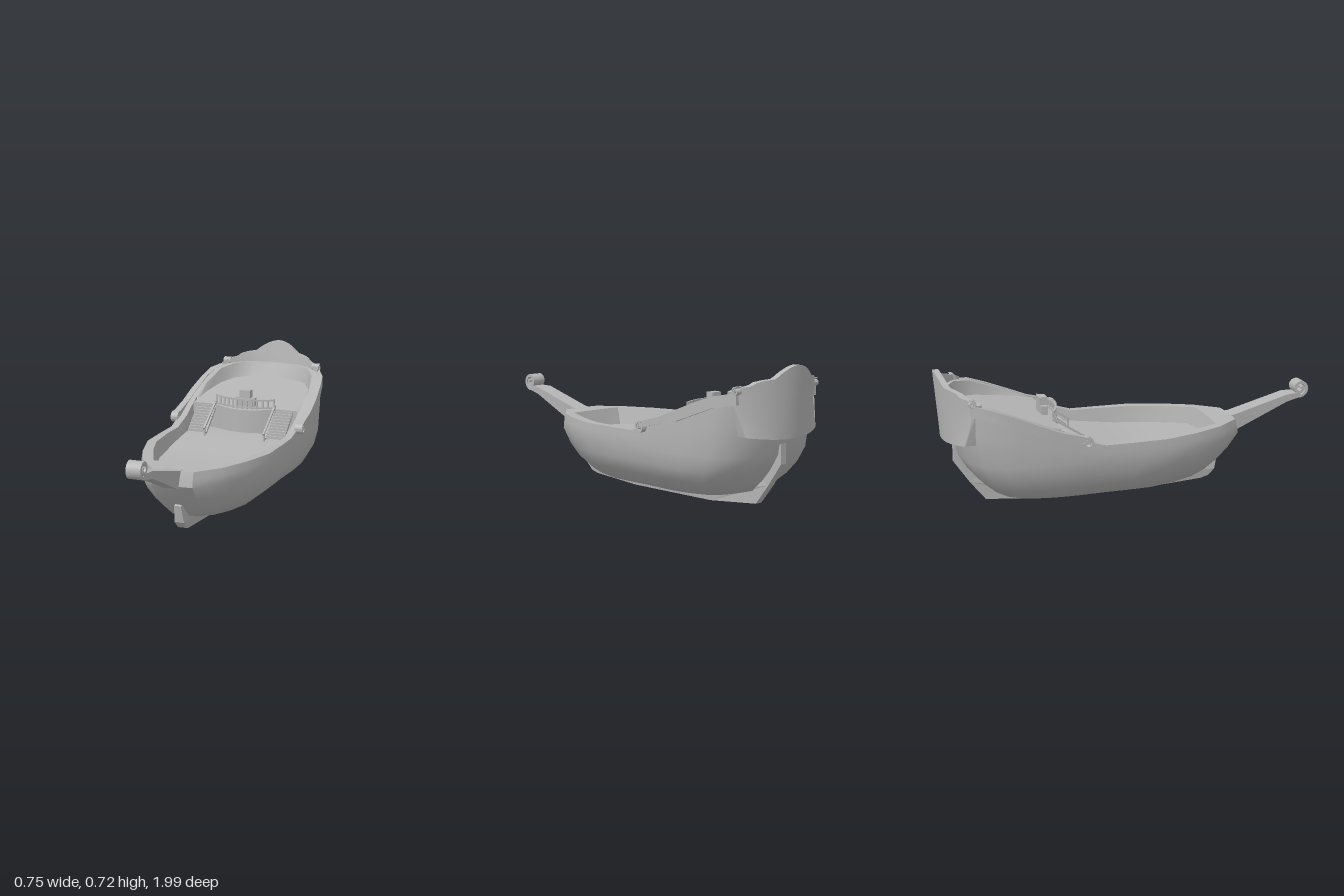
import * as THREE from 'three';
import { toCreasedNormals } from 'three/addons/utils/BufferGeometryUtils.js';

const grey = new THREE.MeshStandardMaterial({ color: 0xb4b4b4, side: THREE.DoubleSide });
grey.name = 'hull grey';

// Piecewise linear lookup in [[key, value], ...] with rising keys
function lerpTable(t, k) {
  if (k <= t[0][0]) return t[0][1];
  for (let i = 1; i < t.length; i++)
    if (k <= t[i][0]) return THREE.MathUtils.mapLinear(k, t[i - 1][0], t[i][0], t[i - 1][1], t[i][1]);
  return t[t.length - 1][1];
}

// Skin closed rings of [x, y, z] points, optionally capping both ends
function loft(rings, caps, crease = 0.6) {
  const n = rings[0].length, pos = rings.flat(), idx = [];
  for (let i = 0; i < rings.length - 1; i++)
    for (let j = 0; j < n; j++) {
      const a = i * n + j, b = i * n + (j + 1) % n;
      idx.push(a, b, b + n, a, b + n, a + n);
    }
  if (caps)
    for (let j = 1; j < n - 1; j++) {
      const e = (rings.length - 1) * n;
      idx.push(0, j + 1, j, e, e + j, e + j + 1);
    }
  const g = new THREE.BufferGeometry();
  g.setAttribute('position', new THREE.Float32BufferAttribute(pos.flat(), 3));
  g.setIndex(idx);
  return toCreasedNormals(g, crease);
}

// Side profile of [z, y] points extruded across x
function sideExtrude(pts, width) {
  const shape = new THREE.Shape(pts.map(p => new THREE.Vector2(p[0], p[1])));
  const g = new THREE.ExtrudeGeometry(shape, { depth: width, bevelEnabled: false });
  return g.translate(0, 0, -width / 2).rotateY(-Math.PI / 2);
}

// Curled ribbon, dir 1 winds from low and behind, -1 from above
function scroll(R, width, start, dir) {
  const outer = [], inner = [], turns = 1.45 * 2 * Math.PI;
  for (let i = 0; i <= 30; i++) {
    const a = i / 30 * turns, r = R * (1 - 0.6 * a / turns), s = start + dir * a;
    outer.push([r * Math.cos(s), r * Math.sin(s)]);
    inner.unshift([(r - R * 0.3) * Math.cos(s), (r - R * 0.3) * Math.sin(s)]);
  }
  return toCreasedNormals(sideExtrude([...outer, ...inner], width), 0.6);
}

// Half outline of the gunwale, bow to stern: outer x, outer z, inner x, inner z
const OUT = [
  [0, .56, 0, .43], [.11, .55, .08, .43], [.16, .49, .155, .425], [.21, .43, .18, .37],
  [.28, .28, .235, .25], [.335, .1, .285, .1], [.34, -.08, .3, -.08], [.34, -.22, .3, -.22],
  [.345, -.34, .302, -.34], [.35, -.41, .304, -.41], [.35, -.5, .305, -.5], [.345, -.62, .3, -.62],
  [.325, -.77, .27, -.77], [.27, -.86, .215, -.86], [.16, -.92, .13, -.905], [0, -.945, 0, -.915]
];
const RIM = [[-.93, .6], [-.85, .595], [-.74, .57], [-.6, .51], [-.475, .46], [-.34, .395], [-.22, .36]];
const rimY = z => lerpTable(RIM, z);
const mainY = z => .275 + .045 * THREE.MathUtils.smoothstep(-z, -.1, .4);
const upperY = z => .445 + (-z - .39) * .16;
const floorX = x => x * .95, floorZ = z => -.25 + (z + .25) * .96;
const FLOOR = OUT.map(p => [floorZ(p[3]), floorX(p[2])]).reverse();
const floorW = z => lerpTable(FLOOR, z) + .006;
const breakZ = x => -.435 + .05 * Math.max(0, 1 - (x / .17) ** 2);

function ringFrom(fn) {
  const half = OUT.map(fn);
  const other = half.slice(1, -1).reverse().map(p => [-p[0], p[1], p[2]]);
  return [...half, ...other];
}

function hullGeometry() {
  const level = (s, bow, stern, y) => ringFrom(([x, z]) => {
    const t = (z + .945) / 1.505;
    return [x * s, y(z, Math.abs(2 * t - 1)), stern + (bow - stern) * t];
  });
  return loft([
    level(.001, .3, -.6, () => .065),
    level(.58, .41, -.74, (z, e) => .065 + .025 * e ** 4),
    level(.87, .46, -.8, () => .145),
    level(.965, .52, -.855, () => .21),
    level(1, .575, -.9, () => .285),
    level(1.005, .57, -.925, z => (.285 + rimY(z)) / 2),
    level(1, .56, -.945, z => rimY(z)),
    ringFrom(p => [p[2], rimY(p[1]), p[3]]),
    ringFrom(p => [floorX(p[2]), p[3] > -.47 ? mainY(p[3]) - .01 : upperY(p[3]) - .01, floorZ(p[3])])
  ], false, .75);
}

// Grid surface: rule(u in -1..1, v in 0..1) gives a point
function sheet(nu, nv, rule) {
  const g = new THREE.PlaneGeometry(2, 1, nu, nv), p = g.attributes.position;
  for (let i = 0; i < p.count; i++) p.setXYZ(i, ...rule(p.getX(i), p.getY(i) + .5));
  g.computeVertexNormals();
  return g;
}

export function createModel() {
  const ship = new THREE.Group();
  ship.name = 'ship';
  const add = (name, geo, x = 0, y = 0, z = 0) => {
    const m = new THREE.Mesh(geo, grey);
    m.name = name;
    m.position.set(x, y, z);
    ship.add(m);
    return m;
  };
  const box = (name, w, h, d, x, y, z) => add(name, new THREE.BoxGeometry(w, h, d), x, y, z);
  // Square bar between two points
  const bar = (name, a, b, t) => {
    const A = new THREE.Vector3(...a), B = new THREE.Vector3(...b);
    const m = box(name, t, t, A.distanceTo(B), ...A.clone().add(B).multiplyScalar(.5).toArray());
    m.lookAt(B);
  };

  add('hull', hullGeometry());

  // Decks and the curved bulkhead between them
  add('mainDeck', sheet(8, 24, (u, v) => {
    const z = .415 - (1 - v) * .9;
    return [u * floorW(z), mainY(z), z];
  }).scale(1, 1, 1));
  add('upperDeck', sheet(24, 14, (u, v) => {
    const front = breakZ(u * .3), z = front + (-.893 - front) * v;
    return [u * floorW(z), upperY(z), z];
  }));
  add('bulkhead', sheet(24, 1, (u, v) => {
    const x = u * .3, z = breakZ(x);
    return [x, v ? upperY(z) : .3, z];
  }));

  // Keel, thinner towards its foot
  const keel = sideExtrude([[.49, .16], [.47, .07], [.44, .035], [.4, .022], [.1, 0], [-.45, 0], [-.76, .03],
    [-.84, .13], [-.915, .24], [-.915, .34], [-.87, .31], [-.79, .16], [-.7, .1], [.38, .1], [.46, .17]], 2);
  const kp = keel.attributes.position;
  for (let i = 0; i < kp.count; i++)
    kp.setX(i, kp.getX(i) * lerpTable([[0, .014], [.07, .026], [.16, .018]], kp.getY(i)));
  keel.computeVertexNormals();
  add('keel', keel);

  // Bowsprit with a curled tip
  const sprit = [[.5, .04, .25, .048, .357], [.57, .04, .272, .047, .364], [.87, .044, .408, .044, .447], [.95, .036, .424, .036, .45]];
  add('bowsprit', loft(sprit.map(([z, wb, b, wt, t]) => [[-wb, b, z], [wb, b, z], [wt, t, z], [-wt, t, z]]), true));
  add('bowScroll', scroll(.052, .074, -Math.PI / 2 - .5, 1), 0, .472, .948);

  // Rising side rails with scrolled ends: z, inner x, outer x, low y, high y
  const rail = [[-.31, .335, .372, .385, .415], [-.45, .335, .37, .418, .452], [-.56, .33, .365, .442, .497],
    [-.68, .32, .35, .488, .546], [-.77, .3, .333, .523, .578], [-.87, .24, .28, .54, .597]];
  for (const s of [1, -1]) {
    add('sideRail', loft(rail.map(([z, a, b, l, h]) => [[s * a, l, z], [s * b, l, z], [s * b, h, z], [s * a, h, z]]), true));
    add('railScroll', scroll(.034, .04, Math.PI / 2 + .4, -1), s * .355, .388, -.32);
    add('sternScroll', scroll(.024, .042, Math.PI / 2 + .4, -1), s * .264, .603, -.865);
  }

  // Curved stern board with a domed crest
  const crest = [[0, .717], [.03, .713], [.06, .702], [.09, .685], [.125, .657], [.17, .651], [.2, .643],
    [.22, .626], [.25, .622], [.285, .6]];
  const board = [];
  for (let i = -20; i <= 20; i++) {
    const x = i / 20 * .285, top = lerpTable(crest, Math.abs(x));
    const low = .37 + .25 * x * x, xl = x * .86;
    const zt = -1 + 1.85 * x * x, zl = -.972 + 1.2 * xl * xl;
    const mid = .53, xm = x * .97, zm = -.985 + 1.7 * xm * xm;
    board.push([[xl, low, zl], [xm, mid, zm], [x, top, zt], [x, top, zt + .03], [xm, mid, zm + .045], [xl, low, zl + .05]]);
  }
  add('sternBoard', loft(board, true, .7));

  // Balustrade along the deck break
  const railPts = [];
  for (let i = 0; i <= 12; i++) {
    const x = -.165 + i * .0275, z = breakZ(x) - .008, y = upperY(z);
    railPts.push([x, z]);
    box('baluster', .008, .05, .008, x, y + .028, z);
  }
  for (let i = 0; i < 12; i++)
    for (const y of [.458, .5])
      bar('balustradeRail', [railPts[i][0], y, railPts[i][1]], [railPts[i + 1][0], y, railPts[i + 1][1]], .009);

  // Stairs with a sloped handrail on each side
  for (const s of [1, -1]) {
    for (let i = 0; i < 10; i++)
      box('stairTread', .107, .014, .019, s * .222, .332 + i * .0117, -.303 - i * .0148);
    bar('stairStringer', [s * .17, .325, -.29], [s * .17, .443, -.44], .012);
    bar('stairHandrail', [s * .17, .352, -.265], [s * .17, .468, -.445], .01);
    box('stairPost', .01, .06, .01, s * .17, .33, -.275);
    box('stairPost', .01, .06, .01, s * .17, .44, -.435);
  }

  // Helm stand
  box('helmBase', .11, .05, .035, 0, .475, -.455);
  box('helmTop', .06, .045, .04, 0, .519, -.455);
  return ship;
}
